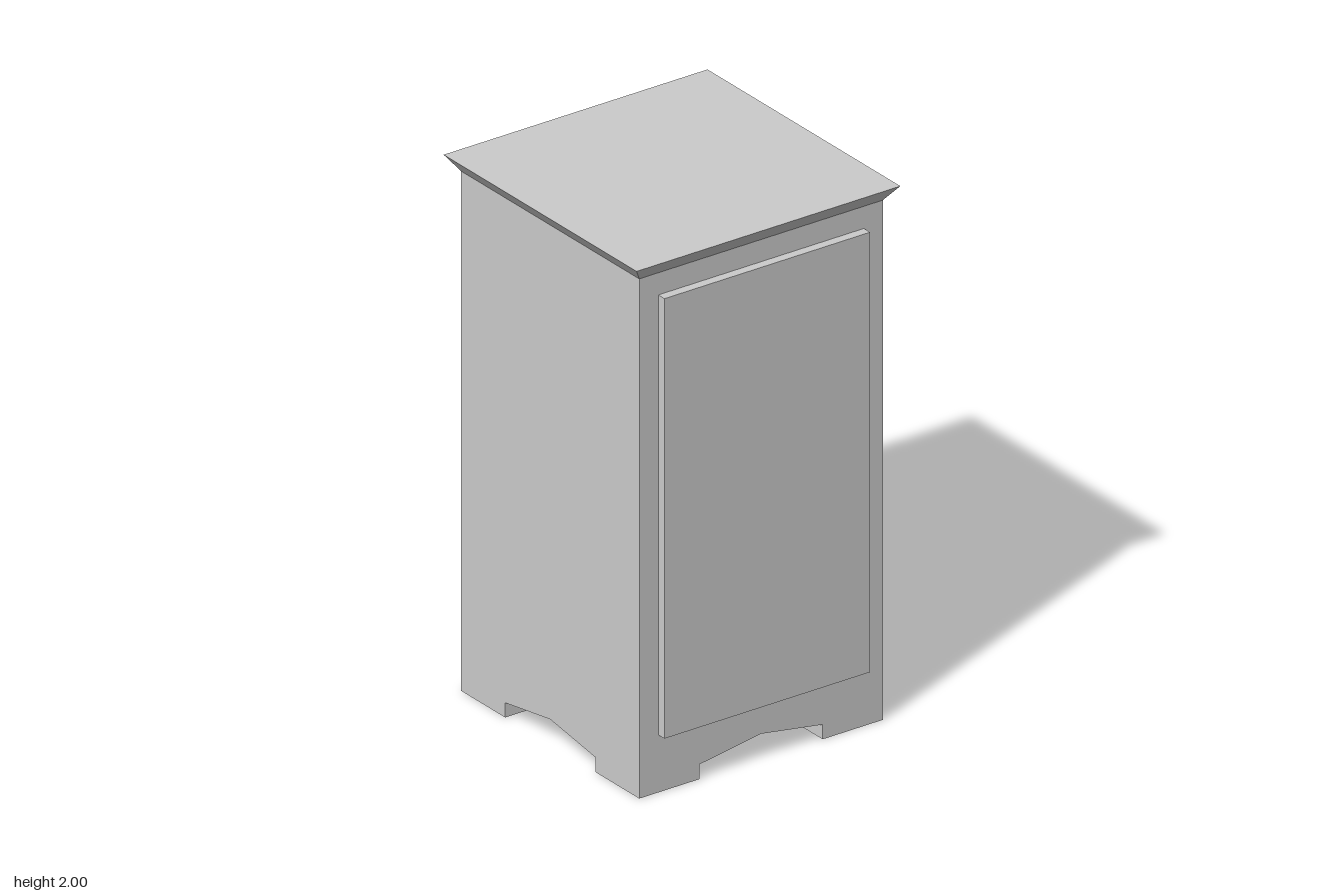
import * as THREE from 'three';

const HALF = 0.506;     // half width of the carcass
const FOOT = 0.256;     // inner edge of the feet
const SPRING = 0.055;   // height of the feet
const PEAK = 0.095;     // top of the pointed arch
const CORNICE = 1.943;  // underside of the cornice
const TOP = 0.548;      // half width of the top

export function createModel() {
  const model = new THREE.Group();
  const material = new THREE.MeshStandardMaterial({ color: 0xcccccc, flatShading: true });

  function add(name, geometry, x = 0, y = 0, z = 0, turn = 0) {
    const mesh = new THREE.Mesh(geometry, material);
    mesh.name = name;
    mesh.position.set(x, y, z);
    mesh.rotation.y = turn;
    model.add(mesh);
    return mesh;
  }

  // Wall panel with a pointed arch cut into its lower edge
  const wallShape = new THREE.Shape([
    [-HALF, SPRING], [-FOOT, SPRING], [0, PEAK], [FOOT, SPRING],
    [HALF, SPRING], [HALF, CORNICE], [-HALF, CORNICE],
  ].map(([x, y]) => new THREE.Vector2(x, y)));
  const wallGeometry = new THREE.ShapeGeometry(wallShape);

  // One quarter of the vaulted underside, running from the centre to a wall
  const C = [0, PEAK, 0], M = [0, PEAK, HALF];
  const A = [FOOT, SPRING, FOOT], A2 = [FOOT, SPRING, HALF];
  const B = [-FOOT, SPRING, FOOT], B2 = [-FOOT, SPRING, HALF];
  const vaultGeometry = new THREE.BufferGeometry();
  vaultGeometry.setAttribute('position', new THREE.Float32BufferAttribute(
    [C, A, A2, C, A2, M, C, M, B2, C, B2, B].flat(), 3));
  vaultGeometry.computeVertexNormals();

  ['front', 'left', 'back', 'right'].forEach((side, i) => {
    const turn = i * Math.PI / 2;
    add(side + 'Wall', wallGeometry, HALF * Math.sin(turn), 0, HALF * Math.cos(turn), turn);
    add(side + 'Underside', vaultGeometry, 0, 0, 0, turn);
  });

  // Square corner feet
  const footGeometry = new THREE.BoxGeometry(HALF - FOOT, SPRING, HALF - FOOT);
  const mid = (HALF + FOOT) / 2;
  for (const sx of [-1, 1]) {
    for (const sz of [-1, 1]) {
      add((sz > 0 ? 'front' : 'back') + (sx > 0 ? 'Left' : 'Right') + 'Foot',
        footGeometry, sx * mid, SPRING / 2, sz * mid);
    }
  }

  // Flared cornice with a flat top
  const cornice = new THREE.CylinderGeometry(
    TOP * Math.SQRT2, HALF * Math.SQRT2, 2 - CORNICE, 4, 1, false, Math.PI / 4);
  add('cornice', cornice, 0, (2 + CORNICE) / 2, 0);

  // Raised door panel
  const doorDepth = 0.035;
  add('door', new THREE.BoxGeometry(0.854, 1.645, doorDepth), 0, 1.0375, HALF + doorDepth / 2);

  return model;
}
